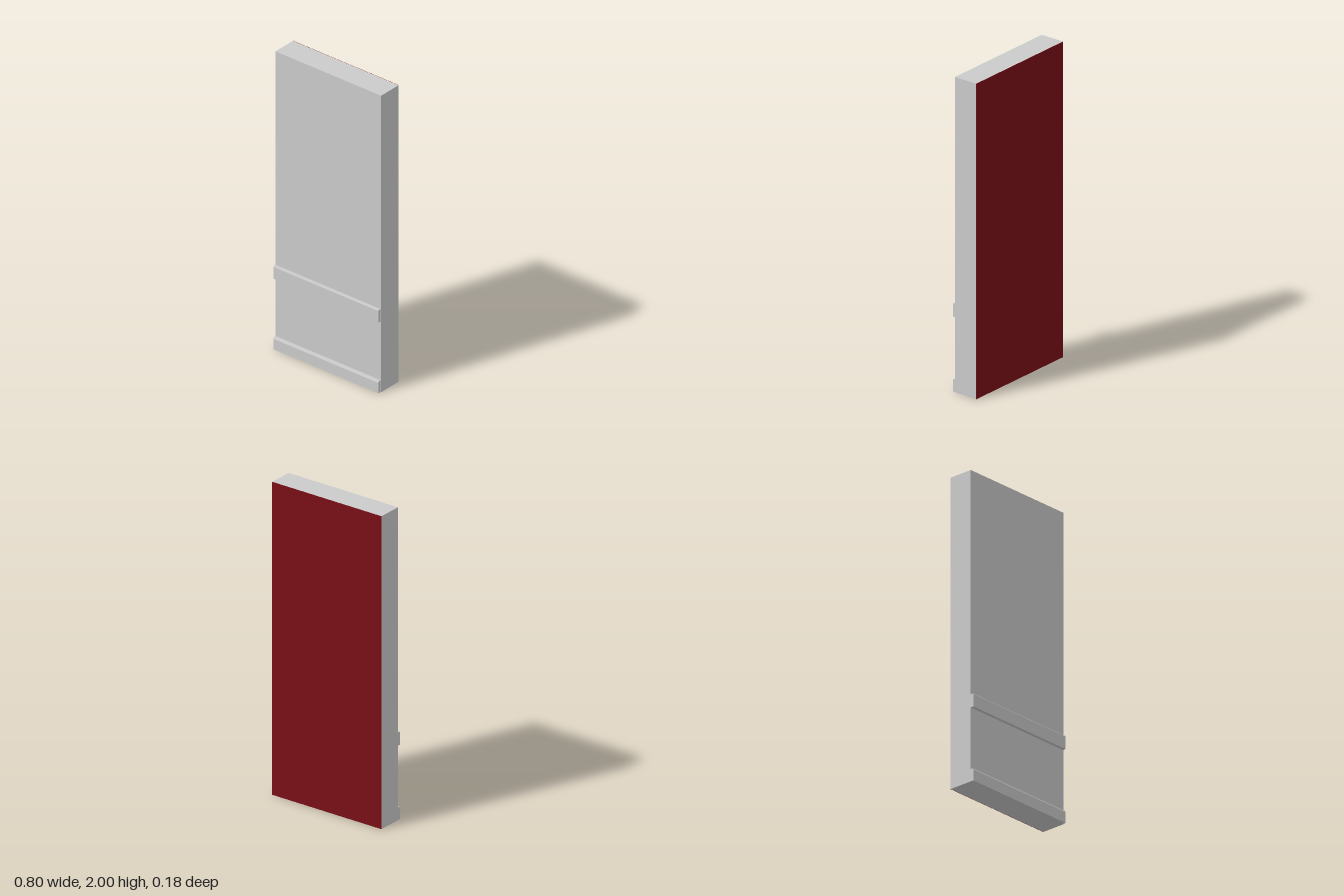
import * as THREE from 'three';

const WIDTH = 0.8, HEIGHT = 2, BACK = -0.09, FACE = 0.07, FRONT = 0.09;

export function createModel() {
  const group = new THREE.Group();
  const grey = new THREE.MeshStandardMaterial({ color: 0xcccccc, flatShading: true });
  const red = new THREE.MeshStandardMaterial({ color: 0x7a1018, flatShading: true });

  const add = (name, geometry, material) => {
    const mesh = new THREE.Mesh(geometry, material);
    mesh.name = name;
    group.add(mesh);
    return mesh;
  };

  // Upright slab between two depths
  const slab = (name, z0, z1, material) =>
    add(name, new THREE.BoxGeometry(WIDTH, HEIGHT, z1 - z0), material)
      .position.set(0, HEIGHT / 2, (z0 + z1) / 2);

  // Horizontal rail: side profile with a chamfered top front edge, run along x
  const rail = (name, y0, y1, chamfer) => {
    const profile = new THREE.Shape([
      [-FACE, y0], [-FACE, y1], [-FRONT + chamfer / 2, y1], [-FRONT, y1 - chamfer], [-FRONT, y0],
    ].map(([x, y]) => new THREE.Vector2(x, y)));
    const length = WIDTH - 0.004;
    const geometry = new THREE.ExtrudeGeometry(profile, { depth: length, bevelEnabled: false });
    geometry.rotateY(Math.PI / 2).translate(-WIDTH / 2, 0, 0);
    add(name, geometry, grey);
  };

  slab('wallPanel', BACK + 0.002, FACE, grey);
  slab('backFace', BACK, BACK + 0.002, red);
  rail('baseboard', 0, 0.08, 0.01);
  rail('chairRail', 0.475, 0.56, 0.005);

  return group;
}
